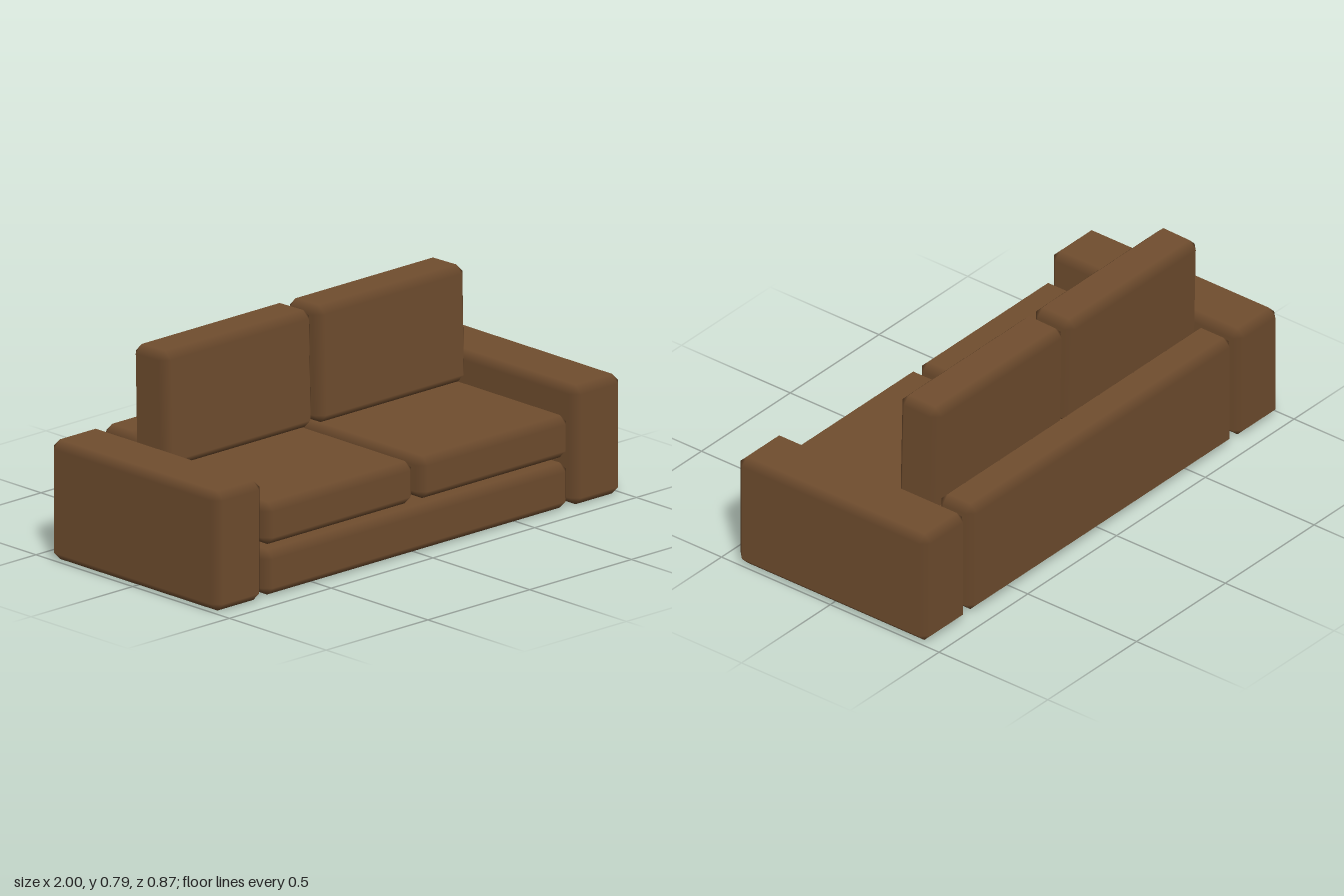
import * as THREE from 'three';
import { ConvexGeometry } from 'three/addons/geometries/ConvexGeometry.js';

// Chamfered box: flat faces, with normals blending softly across the bevels
function bevelBox(w, h, d, r) {
  const half = [w / 2, h / 2, d / 2];
  const points = [];
  for (let axis = 0; axis < 3; axis++)
    for (const sx of [-1, 1]) for (const sy of [-1, 1]) for (const sz of [-1, 1])
      points.push(new THREE.Vector3(
        ...[sx, sy, sz].map((s, i) => s * (half[i] - (i === axis ? 0 : r)))));
  const geometry = new ConvexGeometry(points);
  const pos = geometry.attributes.position;
  const normal = geometry.attributes.normal;
  for (let i = 0; i < pos.count; i++) {
    const p = [pos.getX(i), pos.getY(i), pos.getZ(i)];
    // each corner keeps the normal of the flat face it lies on
    const n = p.map((v, k) => (Math.abs(Math.abs(v) - half[k]) < 1e-4 ? Math.sign(v) : 0));
    normal.setXYZ(i, ...n);
  }
  return geometry;
}

export function createModel() {
  const sofa = new THREE.Group();
  sofa.name = 'sofa';
  const leather = new THREE.MeshStandardMaterial({ color: 0x714e2f });
  leather.name = 'brown leather';

  // Adds a padded block from its [min, max] range on each axis
  function block(name, [x0, x1], [y0, y1], [z0, z1], r = 0.03) {
    const mesh = new THREE.Mesh(bevelBox(x1 - x0, y1 - y0, z1 - z0, r), leather);
    mesh.name = name;
    mesh.position.set((x0 + x1) / 2, (y0 + y1) / 2, (z0 + z1) / 2);
    sofa.add(mesh);
    return mesh;
  }

  // Frame
  block('base', [-0.752, 0.746], [0.003, 0.172], [-0.252, 0.432]);
  block('backPanel', [-0.743, 0.741], [0.003, 0.448], [-0.438, -0.276]);
  block('leftArm', [0.76, 1], [0, 0.448], [-0.438, 0.436]);
  block('rightArm', [-1, -0.764], [0, 0.448], [-0.438, 0.436]);

  // Seat cushions and slightly reclined back cushions
  for (const [side, seatX, backX] of [
    ['left', [0.01, 0.747], [0.003, 0.738]],
    ['right', [-0.75, -0.015], [-0.753, -0.015]],
  ]) {
    block(side + 'SeatCushion', seatX, [0.192, 0.35], [-0.252, 0.432]);
    const back = block(side + 'BackCushion', backX, [0.354, 0.79], [-0.27, -0.09]);
    back.rotation.x = -0.022;
  }
  return sofa;
}
